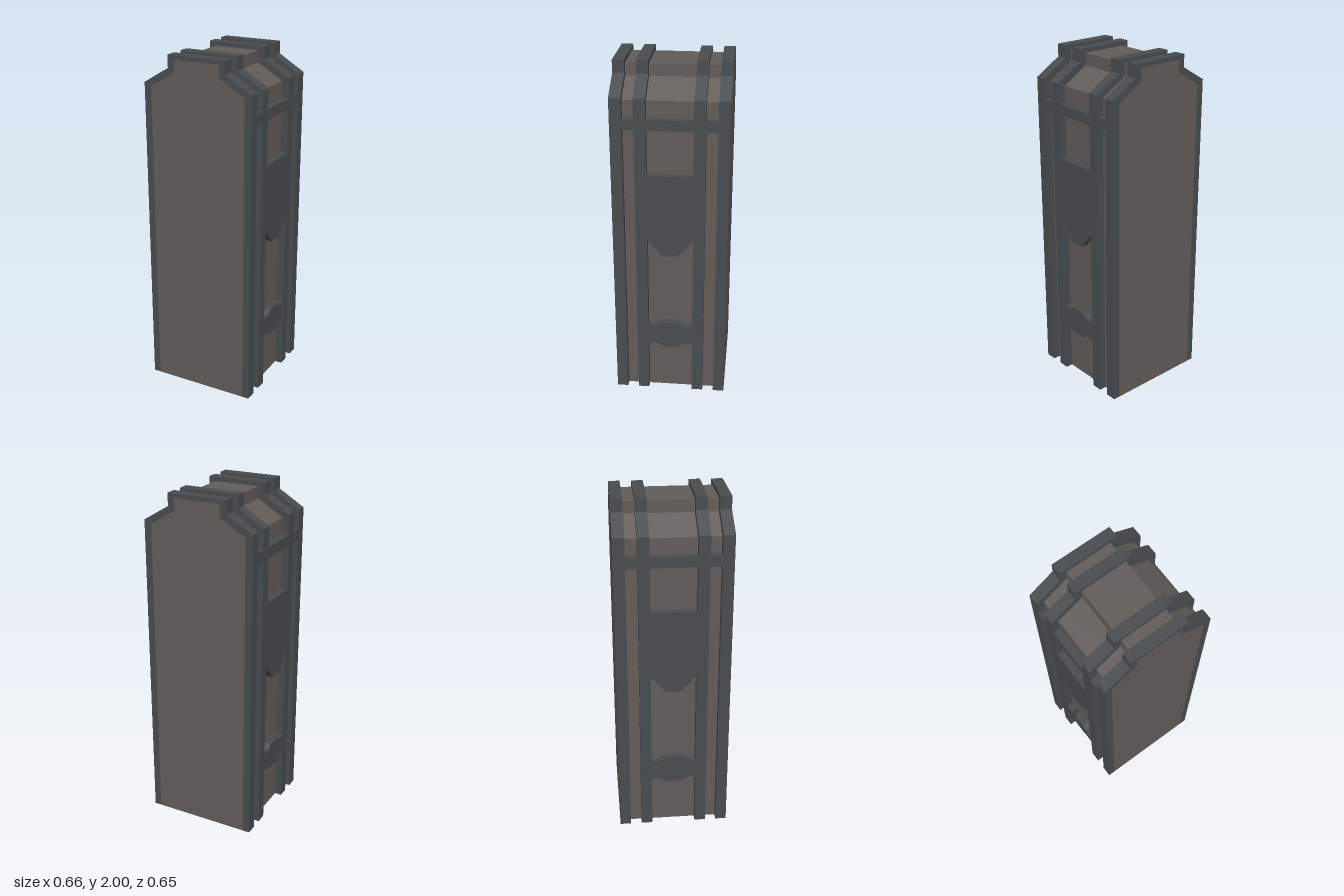
import * as THREE from 'three';

const OUT = 0.33, IN = 0.288, HALF_Z = 0.325;

const frameMat = new THREE.MeshStandardMaterial({ color: 0x484c4f });
const bodyMat = new THREE.MeshStandardMaterial({ color: 0x625c59 });

// Right half outlines from the base to the top; mirrored for the left half
const outerHalf = [[OUT, 0], [OUT, 1.835], [0.177, 1.927], [0.177, 2]];
const innerHalf = [[IN, 0], [IN, 1.815], [0.137, 1.905], [0.137, 1.975]];

const mirrored = (half) => [...half, ...half.map(([x, y]) => [-x, y]).reverse()];
const toShape = (pts) => new THREE.Shape(pts.map(([x, y]) => new THREE.Vector2(x, y)));
const extrude = (pts, depth) =>
  new THREE.ExtrudeGeometry(toShape(pts), { depth, bevelEnabled: false });

export function createModel() {
  const model = new THREE.Group();
  model.name = 'tower';

  const add = (name, geometry, material, parent = model) => {
    const mesh = new THREE.Mesh(geometry, material);
    mesh.name = name;
    parent.add(mesh);
    return mesh;
  };

  // Core block, its ends flush with the outer ribs
  add('body', extrude(mirrored(innerHalf), 2 * HALF_Z), bodyMat).position.z = -HALF_Z;

  // Four ribs that wrap over the sides and top of the core
  const archPts = [...mirrored(outerHalf), ...mirrored(innerHalf).reverse()];
  const ribs = [[-HALF_Z, -0.26], [-0.195, -0.13], [0.13, 0.195], [0.26, HALF_Z]];
  ribs.forEach(([z0, z1], i) => {
    add(`rib${i + 1}`, extrude(archPts, z1 - z0), frameMat).position.z = z0;
  });

  // Side fittings, outlined in (z, y) and flush with the ribs
  const W = 0.13;
  const fittings = {
    crossbarMiddle: mirrored([[W, 1.66], [W, 1.72]]),
    crossbarFront: [[0.195, 1.66], [0.26, 1.66], [0.26, 1.72], [0.195, 1.72]],
    crossbarBack: [[-0.26, 1.66], [-0.195, 1.66], [-0.195, 1.72], [-0.26, 1.72]],
    taperedPanel: mirrored([[0.043, 0.91], [W, 1.01], [W, 1.4]]),
    lowerBar: mirrored([[0.045, 0.3], [0.077, 0.322], [W, 0.322], [W, 0.44], [0.077, 0.44], [0.045, 0.465]]),
  };
  for (const side of [1, -1]) {
    const group = new THREE.Group();
    group.name = side > 0 ? 'leftSide' : 'rightSide';
    group.rotation.y = side * Math.PI / 2;
    group.position.x = side * IN;
    for (const [name, pts] of Object.entries(fittings)) {
      add(name, extrude(pts, OUT - IN), frameMat, group);
    }
    model.add(group);
  }

  return model;
}
